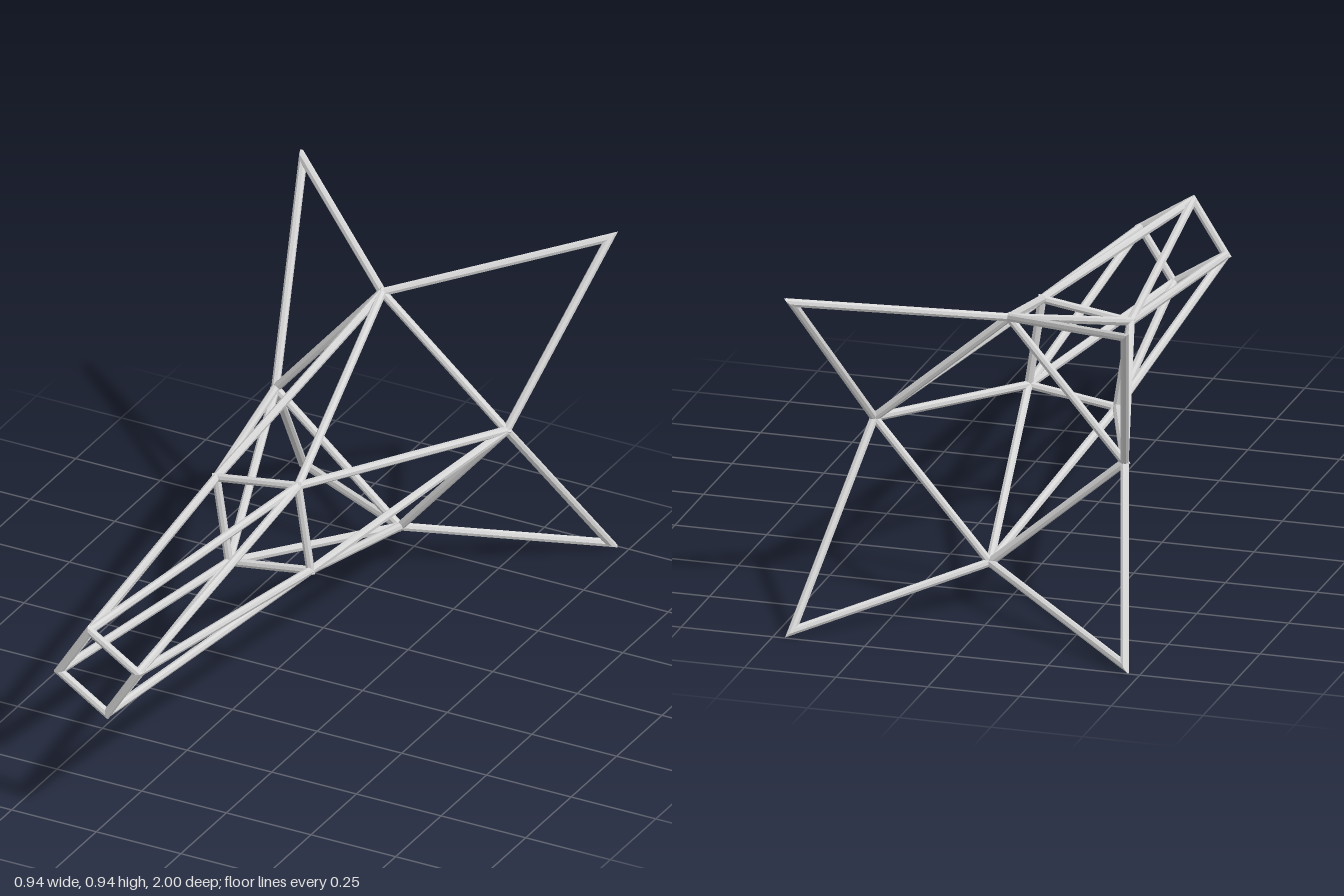
import * as THREE from 'three';

const RADIUS = 0.0115;
const SIDES = 8;
const CY = 0.467;

export function createModel() {
  const model = new THREE.Group();
  const steel = new THREE.MeshStandardMaterial({ color: 0xd6d6d6 });
  steel.name = 'light grey steel';

  // four nodes, each a quarter turn clockwise from the last
  const nodes = (x, y, z) => {
    const list = [];
    for (let i = 0; i < 4; i++) {
      list.push(new THREE.Vector3(x, CY + y, z));
      [x, y] = [y, -x];
    }
    return list;
  };
  const dir = (a, b) => b.clone().sub(a).normalize();

  // mitre plane normal at p, between bars running to a and b
  const mitre = (p, a, b) => dir(p, a).sub(dir(p, b)).normalize();

  // bar from a to b; optional normals cut its ends to a mitre
  function strut(name, parent, a, b, cutA, cutB) {
    const axis = dir(a, b);
    let geo = new THREE.CylinderGeometry(RADIUS, RADIUS, a.distanceTo(b), SIDES);
    const pos = geo.attributes.position;
    const q = new THREE.Quaternion().setFromUnitVectors(new THREE.Vector3(0, 1, 0), axis);
    const mid = a.clone().add(b).multiplyScalar(0.5);
    const v = new THREE.Vector3();
    for (let i = 0; i < pos.count; i++) {
      v.fromBufferAttribute(pos, i);
      const atB = v.y > 0;
      v.applyQuaternion(q).add(mid);
      const cut = atB ? cutB : cutA;
      if (cut) {
        const offset = v.clone().sub(atB ? b : a);
        v.addScaledVector(axis, -offset.dot(cut) / axis.dot(cut));
      }
      pos.setXYZ(i, v.x, v.y, v.z);
    }
    geo = geo.toNonIndexed();
    geo.computeVertexNormals();
    const mesh = new THREE.Mesh(geo, steel);
    mesh.name = name;
    parent.add(mesh);
  }

  const group = (name) => {
    const g = new THREE.Group();
    g.name = name;
    model.add(g);
    return g;
  };

  // square frame with mitred corners
  function ring(name, p) {
    const g = group(name);
    for (let i = 0; i < 4; i++) {
      const a = p[i], b = p[(i + 1) % 4];
      strut(name + 'Bar', g, a, b,
        mitre(a, p[(i + 3) % 4], b), mitre(b, a, p[(i + 2) % 4]));
    }
  }

  const front = nodes(0.116, 0.026, 0.988);
  const middle = nodes(0.102, 0.139, 0.08);
  const rear = nodes(0.341, 0.026, -0.622);
  const tips = nodes(0.453, 0.453, -0.982);

  ring('frontFrame', front);
  ring('middleFrame', middle);
  ring('rearFrame', rear);

  // zigzag bracing between the frames
  const frontBraces = group('frontBraces');
  const rearBraces = group('rearBraces');
  for (let i = 0; i < 4; i++) {
    for (const m of [middle[i], middle[(i + 1) % 4]]) {
      strut('frontBrace', frontBraces, front[i], m);
      strut('rearBrace', rearBraces, rear[i], m);
    }
  }

  // pointed rear fins, each made of two bars meeting at a sharp tip
  const fins = group('rearFins');
  for (let i = 0; i < 4; i++) {
    const tip = tips[i], a = rear[i], b = rear[(i + 3) % 4];
    const cut = mitre(tip, a, b);
    strut('finBar', fins, tip, a, cut);
    strut('finBar', fins, tip, b, cut);
  }

  return model;
}
